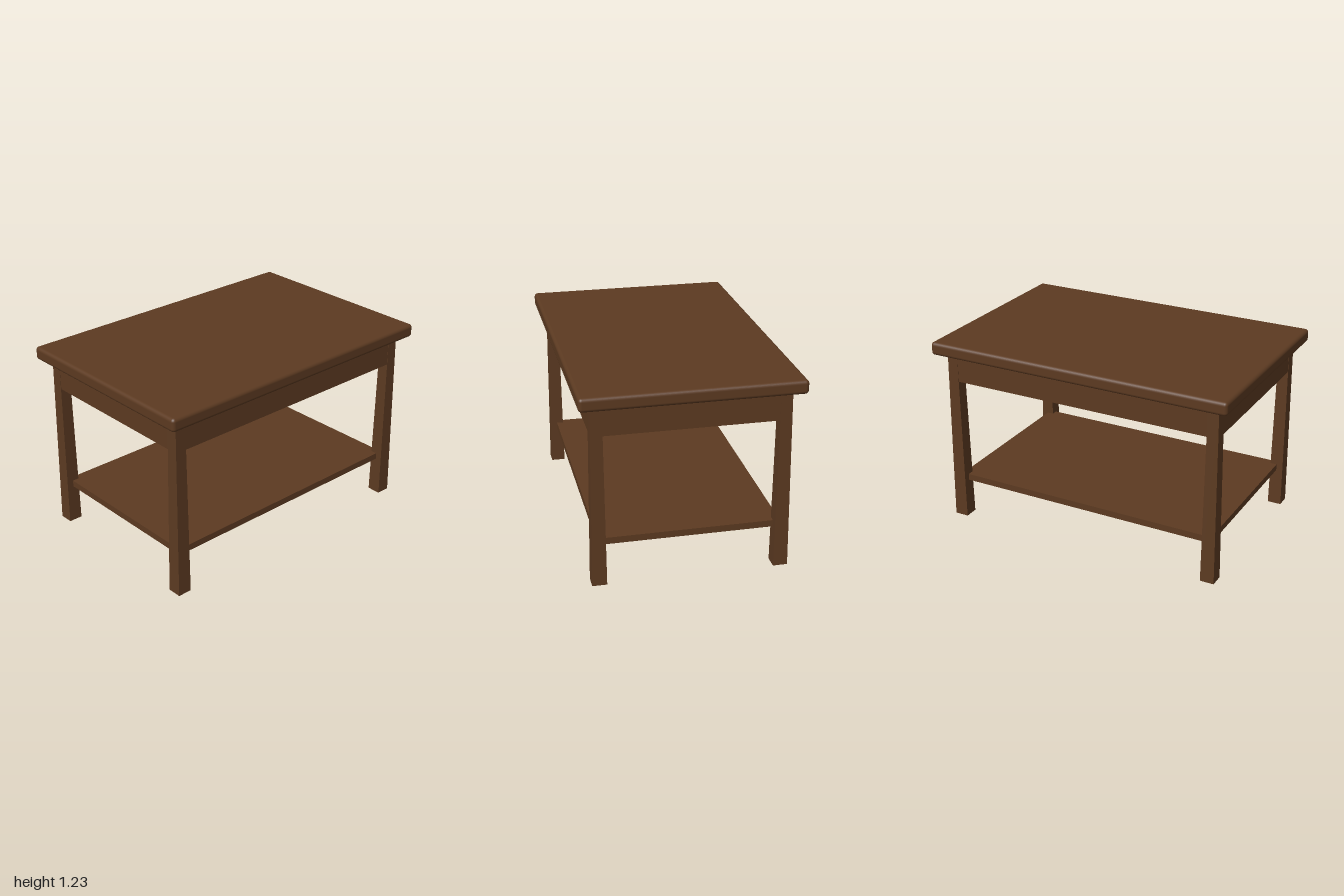
import * as THREE from 'three';
import { RoundedBoxGeometry } from 'three/addons/geometries/RoundedBoxGeometry.js';

export function createModel() {
  const table = new THREE.Group();
  table.name = 'table';
  const wood = new THREE.MeshStandardMaterial({ color: 0x5c3a21 });
  wood.name = 'dark wood';

  const add = (name, geometry, x, y, z) => {
    const mesh = new THREE.Mesh(geometry, wood);
    mesh.name = name;
    mesh.position.set(x, y, z);
    table.add(mesh);
  };

  // Table top with softened edges
  add('tableTop', new RoundedBoxGeometry(2, 0.085, 1.33, 3, 0.022), 0, 1.1825, 0);

  // Square legs, slightly wider at the foot
  const legHeight = 1.14, topWidth = 0.07, footWidth = 0.09;
  const legX = 0.89, legZ = 0.558;
  const legGeometry = new THREE.CylinderGeometry(
    topWidth / Math.SQRT2, footWidth / Math.SQRT2, legHeight, 4, 1, false, Math.PI / 4
  ).toNonIndexed();
  legGeometry.computeVertexNormals();
  for (const sx of [-1, 1]) {
    for (const sz of [-1, 1]) {
      const name = (sz > 0 ? 'front' : 'back') + (sx > 0 ? 'Left' : 'Right') + 'Leg';
      add(name, legGeometry, sx * legX, legHeight / 2, sz * legZ);
    }
  }

  // Apron boards, flush with the outer faces of the legs
  const apronHeight = 0.18, apronY = 1.05, thickness = 0.035;
  const longApron = new THREE.BoxGeometry(1.846, apronHeight, thickness);
  const shortApron = new THREE.BoxGeometry(thickness, apronHeight, 1.1);
  for (const s of [-1, 1]) {
    add(s > 0 ? 'frontApron' : 'backApron', longApron, 0, apronY, s * (0.592 - thickness / 2));
    add(s > 0 ? 'leftApron' : 'rightApron', shortApron, s * (0.924 - thickness / 2), apronY, 0);
  }

  // Lower shelf, let into the legs
  add('shelf', new THREE.BoxGeometry(legX * 2, 0.042, legZ * 2), 0, 0.269, 0);

  return table;
}
